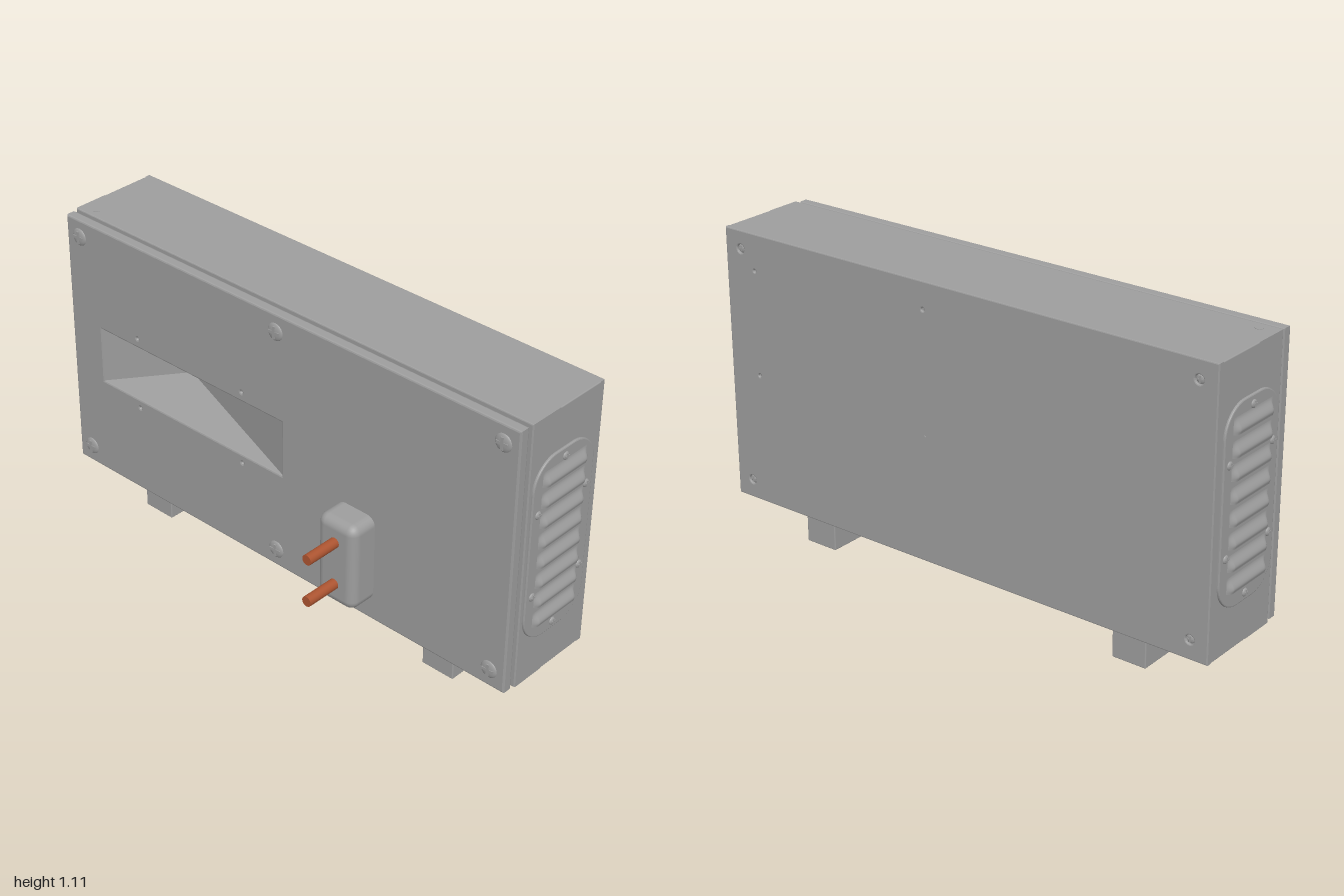
import * as THREE from 'three';
import { RoundedBoxGeometry } from 'three/addons/geometries/RoundedBoxGeometry.js';

export function createModel() {
  const model = new THREE.Group();
  const grey = new THREE.MeshStandardMaterial({ color: 0x9d9d9d });
  const thin = new THREE.MeshStandardMaterial({ color: 0x9d9d9d, side: THREE.DoubleSide });
  const copper = new THREE.MeshStandardMaterial({ color: 0xac5430 });

  function add(name, geometry, material = grey, parent = model) {
    const mesh = new THREE.Mesh(geometry, material);
    mesh.name = name;
    parent.add(mesh);
    return mesh;
  }

  // Box given by its limits, with softened edges
  function block(name, x0, x1, y0, y1, z0, z1, radius) {
    const g = new RoundedBoxGeometry(x1 - x0, y1 - y0, z1 - z0, 3, radius);
    g.translate((x0 + x1) / 2, (y0 + y1) / 2, (z0 + z1) / 2);
    return add(name, g);
  }

  function rectPath(path, a0, a1, b0, b1) {
    path.moveTo(a0, b0);
    path.lineTo(a1, b0);
    path.lineTo(a1, b1);
    path.lineTo(a0, b1);
    path.closePath();
    return path;
  }

  // Round hole at height y and depth z
  function roundHole([y, z, r]) {
    const path = new THREE.Path();
    path.absarc(-z, y, r, 0, Math.PI * 2);
    return path;
  }

  // Upright sheet across x with softened edges and holes through it
  function sheet(name, x0, x1, y0, y1, zHalf, bevel, holes) {
    const shape = rectPath(new THREE.Shape(), -zHalf, zHalf, y0, y1);
    shape.holes.push(...holes);
    const g = new THREE.ExtrudeGeometry(shape, {
      depth: x1 - x0 - 2 * bevel, bevelThickness: bevel, bevelSize: bevel,
      bevelOffset: -bevel, bevelSegments: 2, curveSegments: 10,
    });
    g.rotateY(Math.PI / 2);
    g.translate(x0 + bevel, 0, 0);
    return add(name, g);
  }

  // Opening in the rear cover, shared by every layer it passes through
  const opening = { y0: 0.508, y1: 0.717, z0: -0.825, z1: 0.025 };
  const openingPath = rectPath(new THREE.Path(), -opening.z1, -opening.z0, opening.y0, opening.y1);
  const coverHoles = [], sideHoles = [[0.98, 0.85, 0.006], [0.605, 0.85, 0.006], [1.015, 0.12, 0.007]];
  for (const z of [-0.645, -0.155]) for (const y of [0.475, 0.752]) coverHoles.push([y, z, 0.005]);
  const sideScrews = [];
  for (const z of [-0.91, 0.91]) for (const y of [0.2, 1.045]) sideScrews.push([y, z, 0.016]);

  // Housing, gasket and cover
  block('housing', 0.08, 0.3, 0.132, 1.11, -0.976, 0.976, 0.004);
  sheet('housingSide', 0.285, 0.309, 0.132, 1.11, 0.976, 0.004, [...sideHoles, ...sideScrews].map(roundHole));
  sheet('housingRim', -0.033, 0.1, 0.132, 1.11, 0.976, 0.004, [openingPath]);
  sheet('gasket', -0.048, -0.028, 0.16, 1.083, 0.945, 0.001, [openingPath]);
  sheet('coverPlate', -0.082, -0.044, 0.135, 1.106, 0.971, 0.006, [openingPath, ...coverHoles.map(roundHole)]);

  // Recess: four facets meeting at an offset inner point
  const corners = [
    [-0.076, opening.y0, opening.z0], [-0.076, opening.y0, opening.z1],
    [-0.076, opening.y1, opening.z1], [-0.076, opening.y1, opening.z0],
  ];
  const apex = [0.07, 0.597, -0.54];
  const facets = [];
  for (let i = 0; i < 4; i++) facets.push(...corners[i], ...corners[(i + 1) % 4], ...apex);
  const recess = new THREE.BufferGeometry();
  recess.setAttribute('position', new THREE.Float32BufferAttribute(facets, 3));
  recess.computeVertexNormals();
  add('coverRecess', recess, thin);

  // Feet
  for (const s of [-1, 1]) block('foot', -0.01, 0.25, 0, 0.14, s * 0.65 - 0.064, s * 0.65 + 0.064, 0.004);

  // Pipe connection box, let into the cover, with two copper pipes
  block('connectionBox', -0.182, -0.046, 0.211, 0.537, 0.27, 0.43, 0.034);
  for (const y of [0.457, 0.294]) {
    const g = new THREE.CylinderGeometry(0.0185, 0.0185, 0.15, 24);
    g.rotateZ(Math.PI / 2);
    add('copperPipe', g, copper).position.set(-0.236, y, 0.35);
  }

  // Domed cross-head screw, head pointing along local +z
  function screw(r, h, parent) {
    const group = new THREE.Group();
    group.name = 'screw';
    const profile = [];
    for (let i = 0; i <= 6; i++) {
      const a = (i / 6) * Math.PI / 2;
      profile.push(new THREE.Vector2(r * Math.cos(a), h * Math.sin(a)));
    }
    const dome = new THREE.LatheGeometry(profile, 20);
    dome.rotateX(Math.PI / 2);
    add('screwHead', dome, thin, group);
    for (const turn of [0, Math.PI / 2]) {
      const bar = add('screwCross', new THREE.BoxGeometry(r * 1.4, r * 0.32, h * 0.5), grey, group);
      bar.position.z = h * 0.85;
      bar.rotation.z = turn;
    }
    parent.add(group);
    return group;
  }

  // Cover screws on the -x side
  for (const z of [-0.91, 0, 0.91]) {
    for (const y of [0.2, 1.043]) {
      const s = screw(0.032, 0.01, model);
      s.position.set(-0.081, y, z);
      s.rotation.y = -Math.PI / 2;
    }
  }

  // Sunk screws on the +x side
  for (const [y, z] of sideScrews) {
    const s = screw(0.015, 0.006, model);
    s.position.set(0.3, y, z);
    s.rotation.y = Math.PI / 2;
  }

  // Small side pin and top plug
  const pin = new THREE.CylinderGeometry(0.005, 0.005, 0.006, 12);
  pin.rotateZ(Math.PI / 2);
  add('sidePin', pin).position.set(0.309, 0.58, 0.12);
  add('topPlug', new THREE.CylinderGeometry(0.014, 0.014, 0.004, 20)).position.set(0.003, 1.109, -0.915);

  // Louver: a sheet pressed outwards, fading into the plate at top and ends, open below
  const smooth = (t) => THREE.MathUtils.smoothstep(t, 0, 1);
  const louver = new THREE.PlaneGeometry(0.21, 0.052, 28, 12);
  const p = louver.attributes.position;
  for (let i = 0; i < p.count; i++) {
    const ends = smooth((0.105 - Math.abs(p.getX(i))) / 0.012);
    const v = p.getY(i) / 0.052 + 0.5;
    const rise = v > 0.25 ? smooth((1 - v) / 0.75) : 0.75 + 0.25 * smooth(v / 0.25);
    p.setZ(i, 0.016 * ends * rise);
  }
  louver.translate(0, 0.026, 0);
  louver.computeVertexNormals();

  // Louvred vent plate, facing local +z and centred on local x
  function vent() {
    const group = new THREE.Group();
    group.name = 'ventPlate';
    const w = 0.147, b = 0.283, t = 0.96, r = 0.105;
    const shape = new THREE.Shape();
    shape.moveTo(-w + r, b);
    shape.lineTo(w - r, b);
    shape.absarc(w - r, b + r, r, -Math.PI / 2, 0);
    shape.absarc(w - r, t - r, r, 0, Math.PI / 2);
    shape.absarc(-w + r, t - r, r, Math.PI / 2, Math.PI);
    shape.absarc(-w + r, b + r, r, Math.PI, Math.PI * 1.5);
    const plate = new THREE.ExtrudeGeometry(shape, {
      depth: 0.007, bevelThickness: 0.004, bevelSize: 0.004, bevelOffset: -0.004,
      bevelSegments: 2, curveSegments: 12,
    });
    add('ventSheet', plate, grey, group).position.z = 0.973;
    for (let i = 0; i < 8; i++)
      add('louver', louver, thin, group).position.set(0, 0.344 + i * 0.0745, 0.9842);
    for (const [x, y] of [[0, 0.93], [0, 0.31], [-0.117, 0.773], [0.117, 0.773], [-0.117, 0.468], [0.117, 0.468]])
      screw(0.014, 0.007, group).position.set(x, y, 0.984);
    return group;
  }
  for (const turn of [0, Math.PI]) {
    const v = vent();
    v.position.x = 0.128;
    v.rotation.y = turn;
    model.add(v);
  }

  return model;
}
